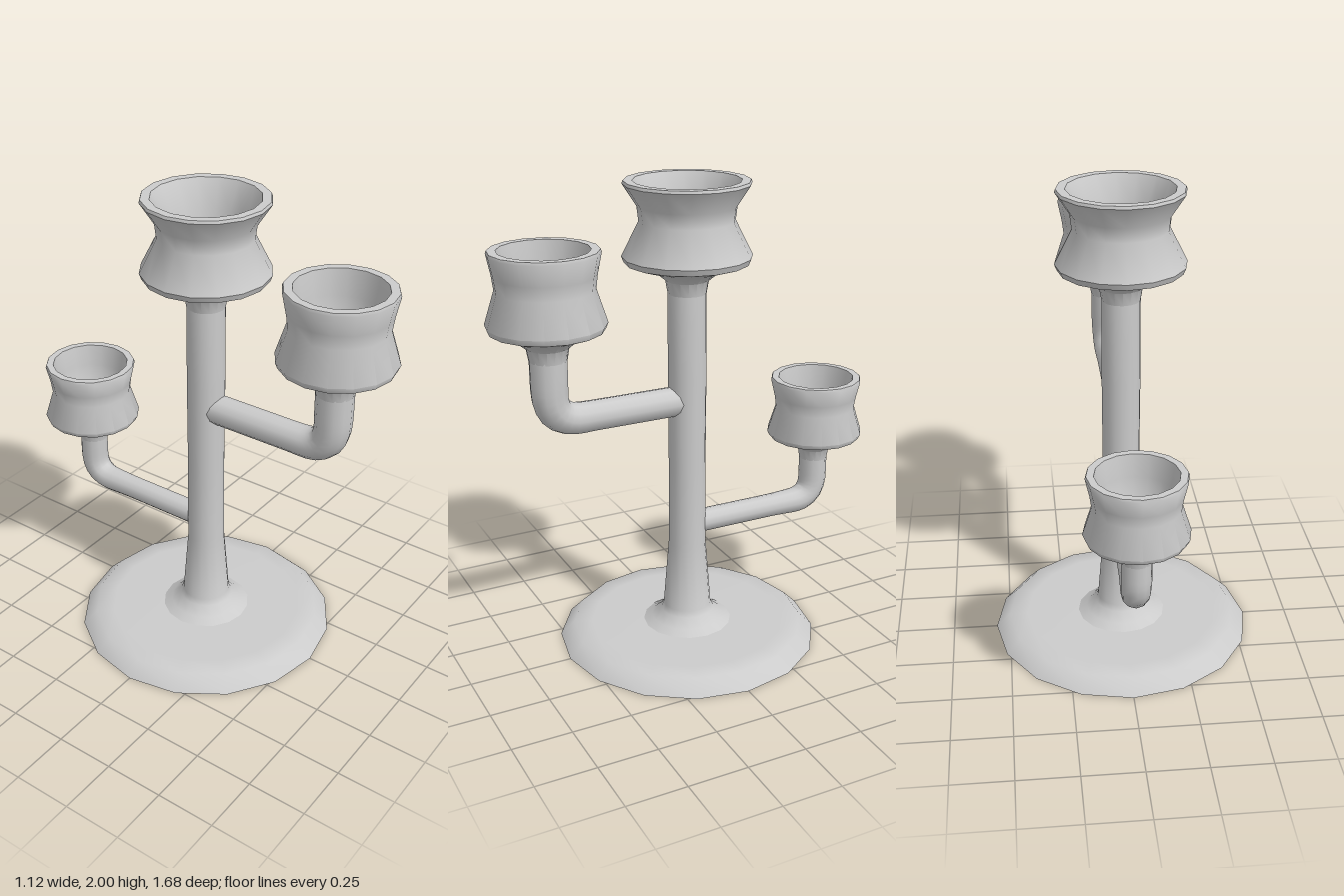
import * as THREE from 'three';
import { toCreasedNormals } from 'three/addons/utils/BufferGeometryUtils.js';

const material = new THREE.MeshStandardMaterial({ color: 0xcccccc });

function addMesh(parent, name, geometry) {
  const mesh = new THREE.Mesh(geometry, material);
  mesh.name = name;
  parent.add(mesh);
  return mesh;
}

// Turned part from [radius, height] pairs, listed from the bottom up the outside
function turned(profile, crease, sides = 16) {
  const points = profile.map(([r, y]) => new THREE.Vector2(r, y));
  return toCreasedNormals(new THREE.LatheGeometry(points, sides), crease);
}

// Flared candle cup; heights are measured down from the rim and scaled by h
function cup({ rim, waist, belly, neck, h }) {
  const wall = 0.04 * h;
  return turned([
    [neck, -0.455 * h],
    [neck * 1.12, -0.4 * h],
    [neck * 1.65, -0.365 * h],
    [belly - 0.01, -0.325 * h],
    [belly, -0.3 * h],
    [waist, -0.16 * h],
    [waist + 0.007, -0.1 * h],
    [rim, -0.012 * h],
    [rim - 0.004, 0],
    [rim - wall, 0],
    [waist - wall + 0.007, -0.11 * h],
    [waist - wall + 0.005, -0.2 * h],
    [waist * 0.68, -0.265 * h],
    [waist * 0.35, -0.285 * h],
    [0, -0.29 * h],
  ], 0.75);
}

// Elbow arm: out from the stem along z, round a bend, then up; widens along its length
function arm(z, y, top, r0, r1, bend) {
  const s = Math.sign(z);
  const v = (py, pz) => new THREE.Vector3(0, py, pz);
  const path = new THREE.CurvePath();
  path.add(new THREE.LineCurve3(v(y, s * 0.02), v(y, z - s * bend)));
  path.add(new THREE.QuadraticBezierCurve3(v(y, z - s * bend), v(y, z), v(y + bend, z)));
  path.add(new THREE.LineCurve3(v(y + bend, z), v(top, z)));
  const rings = 28, sides = 12;
  const geometry = new THREE.TubeGeometry(path, rings, r0, sides, false);
  const pos = geometry.attributes.position;
  const p = new THREE.Vector3();
  for (let i = 0; i <= rings; i++) {
    const centre = path.getPointAt(i / rings);
    const scale = 1 + (r1 / r0 - 1) * THREE.MathUtils.smoothstep(i / rings, 0.45, 0.85);
    for (let j = 0; j <= sides; j++) {
      const k = i * (sides + 1) + j;
      p.fromBufferAttribute(pos, k).sub(centre).multiplyScalar(scale).add(centre);
      pos.setXYZ(k, p.x, p.y, p.z);
    }
  }
  return toCreasedNormals(geometry, 0.9);
}

export function createModel() {
  const model = new THREE.Group();
  model.name = 'candelabrum';

  // Bevelled foot
  addMesh(model, 'base', turned([
    [0, 0], [0.56, 0], [0.5, 0.06], [0.42, 0.063], [0.19, 0.065], [0, 0.065],
  ], 1.0));

  // Stem with a flared, tapering root
  addMesh(model, 'stem', turned([
    [0.2, 0.06], [0.155, 0.085], [0.115, 0.12], [0.103, 0.145],
    [0.08, 0.44], [0.078, 0.8], [0.08, 1.2], [0.079, 1.56],
  ], 1.0));

  // Cups, and the arms that carry the two lower ones
  const holders = [
    { name: 'centre', z: 0, top: 2, rim: 0.257, waist: 0.193, belly: 0.264, neck: 0.079, h: 1 },
    { name: 'front', z: 0.605, top: 1.785, rim: 0.219, waist: 0.195, belly: 0.238, neck: 0.076, h: 0.96,
      armY: 1.09, armRadius: 0.063, bend: 0.13 },
    { name: 'back', z: -0.63, top: 1.095, rim: 0.196, waist: 0.172, belly: 0.208, neck: 0.061, h: 0.83,
      armY: 0.522, armRadius: 0.05, bend: 0.11 },
  ];
  for (const o of holders) {
    addMesh(model, o.name + 'Cup', cup(o)).position.set(0, o.top, o.z);
    if (o.armY) {
      const end = o.top - 0.4 * o.h;
      addMesh(model, o.name + 'Arm', arm(o.z, o.armY, end, o.armRadius, o.neck, o.bend));
    }
  }
  return model;
}
